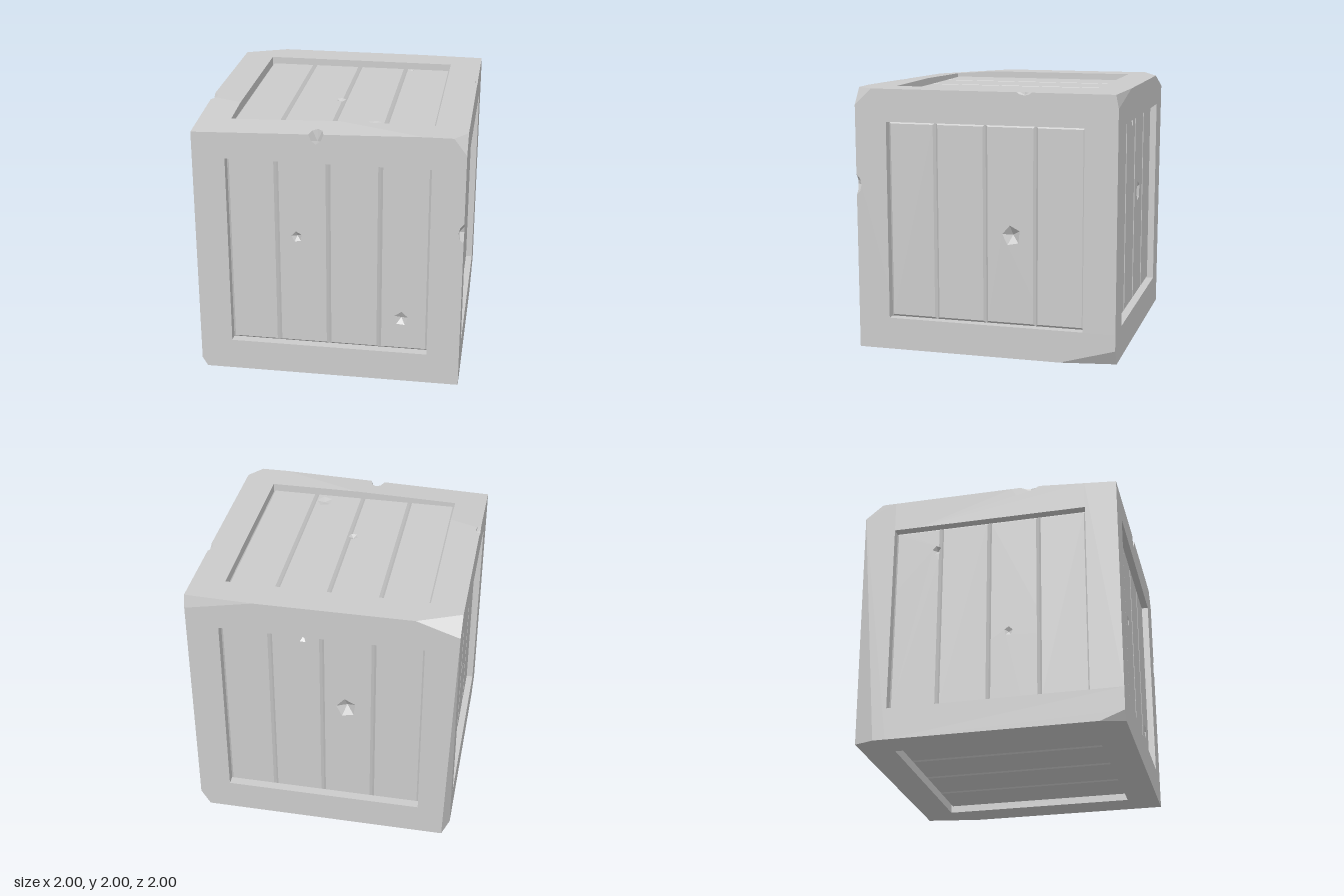
import * as THREE from 'three';

const V = (x, y, z) => new THREE.Vector3(x, y, z);
const EPS = 1e-6;
const HOLE = 0.755, PLANK_TOP = -0.05, PLANK_BASE = -0.07, BEVEL = 0.018;
const CENTRE = V(0, 1, 0);

// --- polygon helpers -------------------------------------------------------

// Split a convex polygon by a plane into the parts behind and in front of it.
function split(poly, plane) {
  const inside = [], outside = [];
  poly.forEach((p, i) => {
    const q = poly[(i + 1) % poly.length];
    const dp = plane.distanceToPoint(p), dq = plane.distanceToPoint(q);
    if (dp <= EPS) inside.push(p);
    if (dp >= -EPS) outside.push(p);
    if ((dp > EPS && dq < -EPS) || (dp < -EPS && dq > EPS)) {
      const m = p.clone().lerp(q, dp / (dp - dq));
      inside.push(m);
      outside.push(m);
    }
  });
  const anyIn = poly.some(p => plane.distanceToPoint(p) < -EPS);
  const anyOut = poly.some(p => plane.distanceToPoint(p) > EPS);
  return [anyIn || !anyOut ? inside : null, anyOut ? outside : null];
}

// Keep only what lies behind all planes.
function clip(poly, planes) {
  for (const plane of planes) {
    if (!poly) return null;
    poly = split(poly, plane)[0];
  }
  return poly;
}

// Remove the convex region behind all planes from a list of polygons.
function subtract(polys, planes) {
  return polys.flatMap(poly => {
    const kept = [];
    let rest = poly;
    for (const plane of planes) {
      const [inside, outside] = split(rest, plane);
      if (outside) kept.push(outside);
      rest = inside;
      if (!rest) return [poly.slice()].slice(0, 1) && kept.length === 1 ? kept : [poly];
    }
    return kept;
  });
}

// Polygon wound so that its normal agrees with dir.
function facing(pts, dir) {
  const n = new THREE.Plane().setFromCoplanarPoints(pts[0], pts[1], pts[2]).normal;
  return n.dot(dir) < 0 ? pts.reverse() : pts;
}

// Plane through three points, facing away from an inner point.
function planeAwayFrom(a, b, c, inner) {
  const plane = new THREE.Plane().setFromCoplanarPoints(a, b, c);
  return plane.distanceToPoint(inner) > 0 ? plane.negate() : plane;
}

// Large square lying on a plane.
function sheet(plane) {
  const n = plane.normal;
  const u = V(n.y, n.z, n.x).cross(n).normalize(), v = n.clone().cross(u);
  const o = plane.projectPoint(CENTRE, V());
  return [[-4, -4], [4, -4], [4, 4], [-4, 4]].map(([a, b]) =>
    o.clone().addScaledVector(u, a).addScaledVector(v, b));
}

// Chip a pyramid-shaped piece out of polygons; bounds limit the new chip faces.
function chip(polys, c, dir, axis, along, across, depth, rise, bounds, sides, phase = 0) {
  const w = dir.clone().cross(axis).normalize();
  const apex = c.clone().addScaledVector(dir, depth);
  const base = c.clone().addScaledVector(dir, -rise);
  const ring = Array.from({ length: sides }, (_, i) => {
    const t = phase + i / sides * Math.PI * 2;
    return base.clone().addScaledVector(axis, Math.sin(t) * along).addScaledVector(w, Math.cos(t) * across);
  });
  const inner = c.clone().addScaledVector(dir, (depth - rise) / 2);
  const planes = ring.map((p, i) => planeAwayFrom(p, ring[(i + 1) % sides], apex, inner));
  planes.push(planeAwayFrom(ring[0], ring[1], ring[2], inner));
  const walls = ring.map((p, i) =>
    clip(facing([p, ring[(i + 1) % sides], apex], planes[i].normal.clone().negate()), bounds));
  return [...subtract(polys, planes), ...walls.filter(Boolean)];
}

function toMesh(name, polys) {
  const pos = [];
  for (const p of polys)
    for (let i = 1; i + 1 < p.length; i++)
      for (const q of [p[0], p[i], p[i + 1]]) pos.push(q.x, q.y, q.z);
  const geo = new THREE.BufferGeometry();
  geo.setAttribute('position', new THREE.Float32BufferAttribute(pos, 3));
  geo.computeVertexNormals();
  const mesh = new THREE.Mesh(geo, new THREE.MeshStandardMaterial({ color: 0xcccccc, flatShading: true }));
  mesh.name = name;
  return mesh;
}

// --- crate data ------------------------------------------------------------

// Sides: outward normal, direction across the planks, dents [across, along, radius, depth].
const SIDES = [
  ['front', V(0, 0, 1), V(1, 0, 0), [[-0.24, 0.14, 0.045, 0.03], [0.55, -0.49, 0.06, 0.03]]],
  ['right', V(1, 0, 0), V(0, 0, -1), [[0.2, -0.07, 0.075, 0.05]]],
  ['back', V(0, 0, -1), V(-1, 0, 0), [[0.18, 0.11, 0.08, 0.05], [-0.14, 0.71, 0.04, 0.03]]],
  ['left', V(-1, 0, 0), V(0, 0, 1), [[-0.42, 0.56, 0.04, 0.03], [0.15, -0.2, 0.04, 0.02]]],
  ['top', V(0, 1, 0), V(1, 0, 0), [[0.43, 0.715, 0.03, 0.02], [-0.03, -0.13, 0.045, 0.02], [0.3, -0.64, 0.09, 0.012]]],
  ['bottom', V(0, -1, 0), V(1, 0, 0), []],
];

// Worn corners and edges, each sliced off by a plane through three points.
const SLICES = [
  [V(0.905, 2, 1), V(1, 1.875, 1), V(1, 2, 0.87)],
  [V(-0.96, 0, 1), V(-1, 0.07, 1), V(-1, 0, 0.82)],
  [V(1, 0, -0.58), V(1, 0.12, -1), V(0.93, 0, -1)],
  [V(-0.68, 2, -1), V(-1, 2, -0.86), V(-1, 1.89, -1)],
  [V(0.49, 2, -1), V(1, 2, -0.98), V(1, 1.9, -1)],
  [V(-1, 1.95, 1), V(0.7, 2, 1), V(-1, 2, 0.35)],
  [V(-1, 1.89, -1), V(-0.95, 0, -1), V(-1, 0, -0.85)],
];

// Notches in frame edges: point, inward direction, edge direction, half length, size.
const NOTCHES = [
  [V(1, 1.27, 1), V(-1, 0, -1), V(0, 1, 0), 0.09, 0.04],
  [V(-0.08, 2, 1), V(0, -1, -0.75), V(1, 0, 0), 0.075, 0.1],
  [V(1, 2, -0.31), V(-1, -1, 0), V(0, 0, 1), 0.065, 0.022],
  [V(-1, 2, 0.33), V(1, -1, 0), V(0, 0, 1), 0.085, 0.035],
];

export function createModel() {
  const crate = new THREE.Group();
  crate.name = 'crate';
  const sidePlanes = SIDES.map(([, n]) =>
    new THREE.Plane().setFromNormalAndCoplanarPoint(n, CENTRE.clone().add(n)));
  const hull = [...sidePlanes, ...SLICES.map(([a, b, c]) => planeAwayFrom(a, b, c, CENTRE))];

  // Outer skin: a cube with its corners sliced off
  let frame = hull.map(p => clip(sheet(p), hull.filter(q => q !== p))).filter(Boolean);
  const walls = [];

  for (const [name, n, u, dents] of SIDES) {
    const v = n.clone().cross(u);
    const at = (a, b, h) => CENTRE.clone().addScaledVector(n, 1 + h).addScaledVector(u, a).addScaledVector(v, b);
    const plane = (dir, point) => new THREE.Plane().setFromNormalAndCoplanarPoint(dir, point);

    // Square recess in the frame, with its four walls
    const box = [plane(n.clone().negate(), at(0, 0, PLANK_BASE)), plane(n, at(0, 0, 0.1))];
    for (const s of [-1, 1]) {
      const su = u.clone().multiplyScalar(s), sv = v.clone().multiplyScalar(s), e = s * HOLE;
      box.push(plane(su, at(e, 0, 0)), plane(sv, at(0, e, 0)));
      const ends = [[-HOLE, PLANK_BASE], [HOLE, PLANK_BASE], [HOLE, 0], [-HOLE, 0]];
      walls.push(facing(ends.map(([t, h]) => at(e, t, h)), su.negate()));
      walls.push(facing(ends.map(([t, h]) => at(t, e, h)), sv.negate()));
    }
    frame = subtract(frame, box);

    // Four bevelled planks
    let planks = [];
    const seams = [-HOLE, -0.387, -0.002, 0.383, HOLE];
    for (let i = 0; i < 4; i++) {
      const ring = (inset, h) => {
        const a0 = seams[i] + inset, a1 = seams[i + 1] - inset, b = HOLE - inset;
        return [at(a0, -b, h), at(a1, -b, h), at(a1, b, h), at(a0, b, h)];
      };
      const low = ring(0, PLANK_BASE), high = ring(BEVEL, PLANK_TOP);
      planks.push(high);
      for (let k = 0; k < 4; k++) {
        const j = (k + 1) % 4;
        planks.push([low[k], low[j], high[j], high[k]]);
      }
    }

    // Dents in the planks
    dents.forEach(([a, b, r, d], i) => {
      planks = chip(planks, at(a, b, PLANK_TOP), n.clone().negate(), v, r * 1.15, r * 1.05,
        d, 0.005, [plane(n, at(0, 0, PLANK_TOP))], 5, 0.5 + i);
    });
    crate.add(toMesh(name + 'Planks', planks));
  }

  frame.push(...walls.map(w => clip(w, hull)).filter(Boolean));

  // Notches along the frame edges
  for (const [c, dir, axis, half, s] of NOTCHES)
    frame = chip(frame, c, dir.normalize(), axis, half * 1.4, s * 2.28, s * 1.25, s * 0.5, hull, 6);

  crate.add(toMesh('frame', frame));
  return crate;
}
